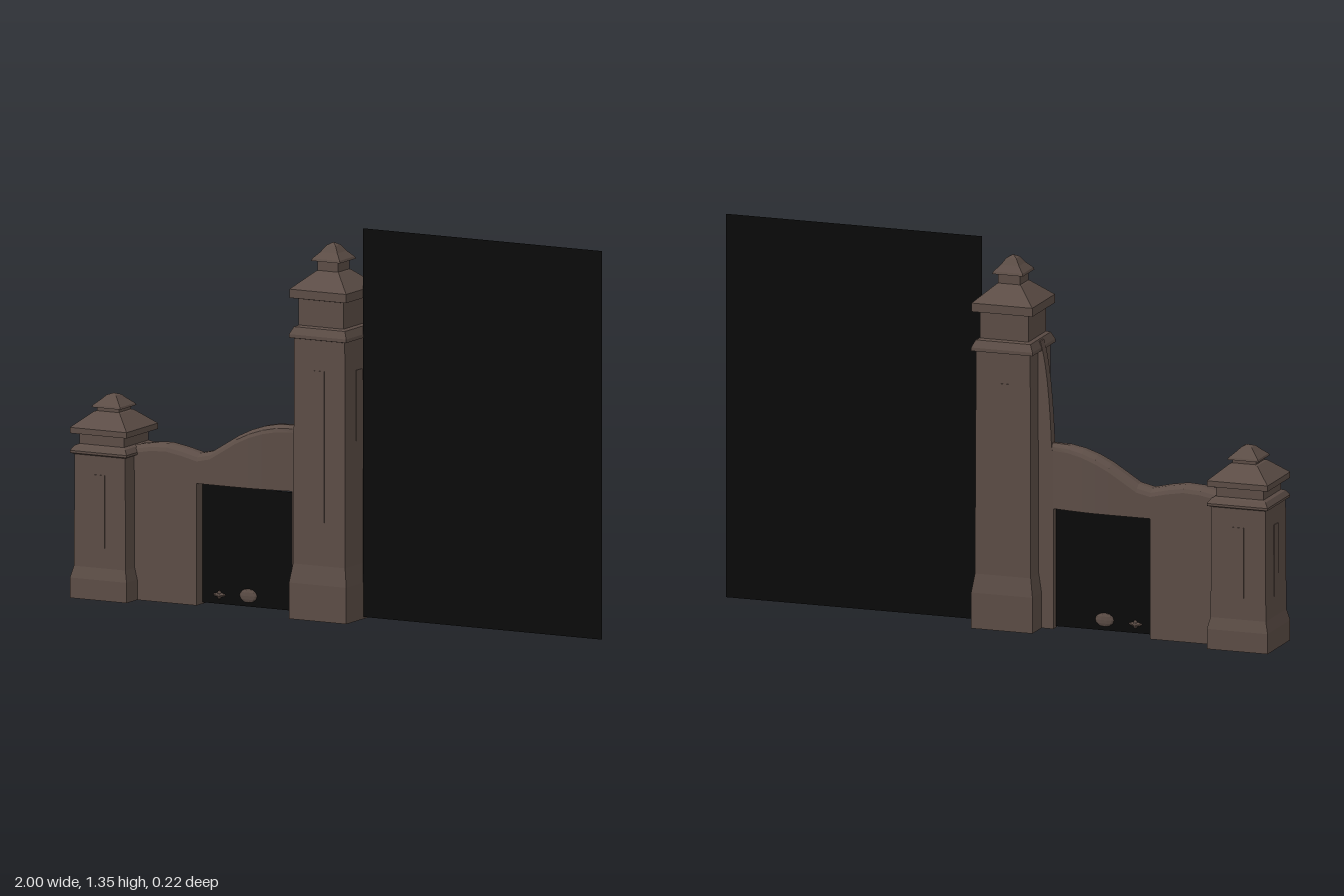
import * as THREE from 'three';

const stone = new THREE.MeshStandardMaterial({ color: 0x5c4d46, flatShading: true, side: THREE.DoubleSide });
stone.name = 'brown stone';
const black = new THREE.MeshStandardMaterial({ color: 0x0a0a0a, side: THREE.DoubleSide });
black.name = 'black gate';

function add(parent, name, geometry, material, x = 0, y = 0, z = 0) {
  const mesh = new THREE.Mesh(geometry, material);
  mesh.name = name;
  mesh.position.set(x, y, z);
  parent.add(mesh);
  return mesh;
}

// Square pillar, open underneath: profile is [half width, height] from the ground up
function pillar(name, x, profile, grooveFrom, grooveTo, shaftHalf) {
  const group = new THREE.Group();
  group.name = name;
  group.position.x = x;
  const points = profile.map(([w, y]) => new THREE.Vector2(w * Math.SQRT2, y));
  add(group, 'pillarBody', new THREE.LatheGeometry(points, 4, Math.PI / 4), stone);
  // Slim raised strip on every face
  const height = grooveTo - grooveFrom;
  for (let i = 0; i < 4; i++) {
    const a = i * Math.PI / 2;
    const strip = add(group, 'faceStrip', new THREE.BoxGeometry(0.04, height, 0.006), stone,
      Math.sin(a) * shaftHalf, grooveFrom + height / 2, Math.cos(a) * shaftHalf);
    strip.rotation.y = a;
  }
  return group;
}

// Wall piece: cross-sections along x with a bevelled coping on top
function wallPiece(sections, bottom) {
  const pos = [], index = [];
  const n = 8;
  for (const [x, top, w] of sections) {
    const ring = [[w, bottom], [w, top - 0.025], [w * 0.85, top - 0.012], [w * 0.35, top],
      [-w * 0.35, top], [-w * 0.85, top - 0.012], [-w, top - 0.025], [-w, bottom]];
    for (const [z, y] of ring) pos.push(x, y, z - 0.005);
  }
  for (let s = 0; s < sections.length - 1; s++) {
    for (let k = 0; k < n; k++) {
      const a = s * n + k, b = s * n + (k + 1) % n;
      if (k === n - 1 && bottom === 0) continue; // open at the ground
      index.push(a, a + n, b, b, a + n, b + n);
    }
  }
  // End caps
  const last = (sections.length - 1) * n;
  for (let k = 1; k < n - 1; k++) {
    index.push(0, k, k + 1, last, last + k + 1, last + k);
  }
  const geo = new THREE.BufferGeometry();
  geo.setAttribute('position', new THREE.Float32BufferAttribute(pos, 3));
  geo.setIndex(index);
  geo.computeVertexNormals();
  return geo;
}

export function createModel() {
  const model = new THREE.Group();
  model.name = 'gateway';

  // Pillars
  model.add(pillar('tallPillar', -0.038, [
    [0.111, 0], [0.111, 0.125], [0.101, 0.19], [0.098, 0.965], [0.111, 0.968], [0.111, 0.98],
    [0.099, 1.005], [0.087, 1.01], [0.087, 1.1], [0.11, 1.105], [0.11, 1.135], [0.045, 1.192],
    [0.04, 1.195], [0.04, 1.228], [0.056, 1.229], [0.053, 1.237], [0.033, 1.258], [0.018, 1.28], [0, 1.29],
  ], 0.34, 0.86, 0.098));
  model.add(pillar('shortPillar', -0.89, [
    [0.11, 0], [0.11, 0.07], [0.1, 0.11], [0.098, 0.495], [0.11, 0.5], [0.11, 0.508],
    [0.098, 0.525], [0.086, 0.53], [0.086, 0.565], [0.11, 0.567], [0.11, 0.587], [0.05, 0.638],
    [0.042, 0.64], [0.042, 0.652], [0.056, 0.653], [0.053, 0.66], [0.033, 0.678], [0.018, 0.693], [0, 0.699],
  ], 0.18, 0.43, 0.098));

  // Wavy wall beside the small gate, and the lintel over it
  add(model, 'wall', wallPiece([
    [-0.82, 0.527, 0.04], [-0.78, 0.533, 0.04], [-0.73, 0.542, 0.04], [-0.67, 0.545, 0.04],
    [-0.61, 0.535, 0.04], [-0.55, 0.521, 0.04],
  ], 0), stone);
  add(model, 'lintel', wallPiece([
    [-0.55, 0.521, 0.04], [-0.5, 0.532, 0.04], [-0.45, 0.563, 0.04], [-0.4, 0.594, 0.04],
    [-0.35, 0.618, 0.039], [-0.3, 0.635, 0.035], [-0.25, 0.645, 0.028], [-0.19, 0.647, 0.018],
    [-0.15, 0.647, 0.018],
  ], 0.42), stone);

  // Curved buttress rising against the tall pillar
  const outline = new THREE.Shape();
  outline.moveTo(-0.12, 0);
  outline.lineTo(-0.12, 1.0);
  outline.lineTo(-0.145, 1.0);
  outline.quadraticCurveTo(-0.175, 0.9, -0.185, 0.64);
  outline.lineTo(-0.192, 0.6);
  outline.lineTo(-0.192, 0);
  add(model, 'buttress', new THREE.ExtrudeGeometry(outline,
    { depth: 0.036, bevelEnabled: false, curveSegments: 6 }), stone, 0, 0, -0.023);

  // Gate leaves
  add(model, 'largeGate', new THREE.PlaneGeometry(0.928, 1.338), black, 0.536, 0.676, -0.008);
  add(model, 'smallGate', new THREE.PlaneGeometry(0.355, 0.408), black, -0.371, 0.21, -0.003);

  // Small fittings low on the small gate
  for (const [x, y, rx, ry] of [[-0.37, 0.043, 0.034, 0.024], [-0.482, 0.037, 0.024, 0.007], [-0.482, 0.037, 0.008, 0.015]]) {
    const fitting = add(model, 'gateFitting', new THREE.SphereGeometry(1, 10, 6), stone, x, y, -0.003);
    fitting.scale.set(rx, ry, 0.008);
  }
  return model;
}
